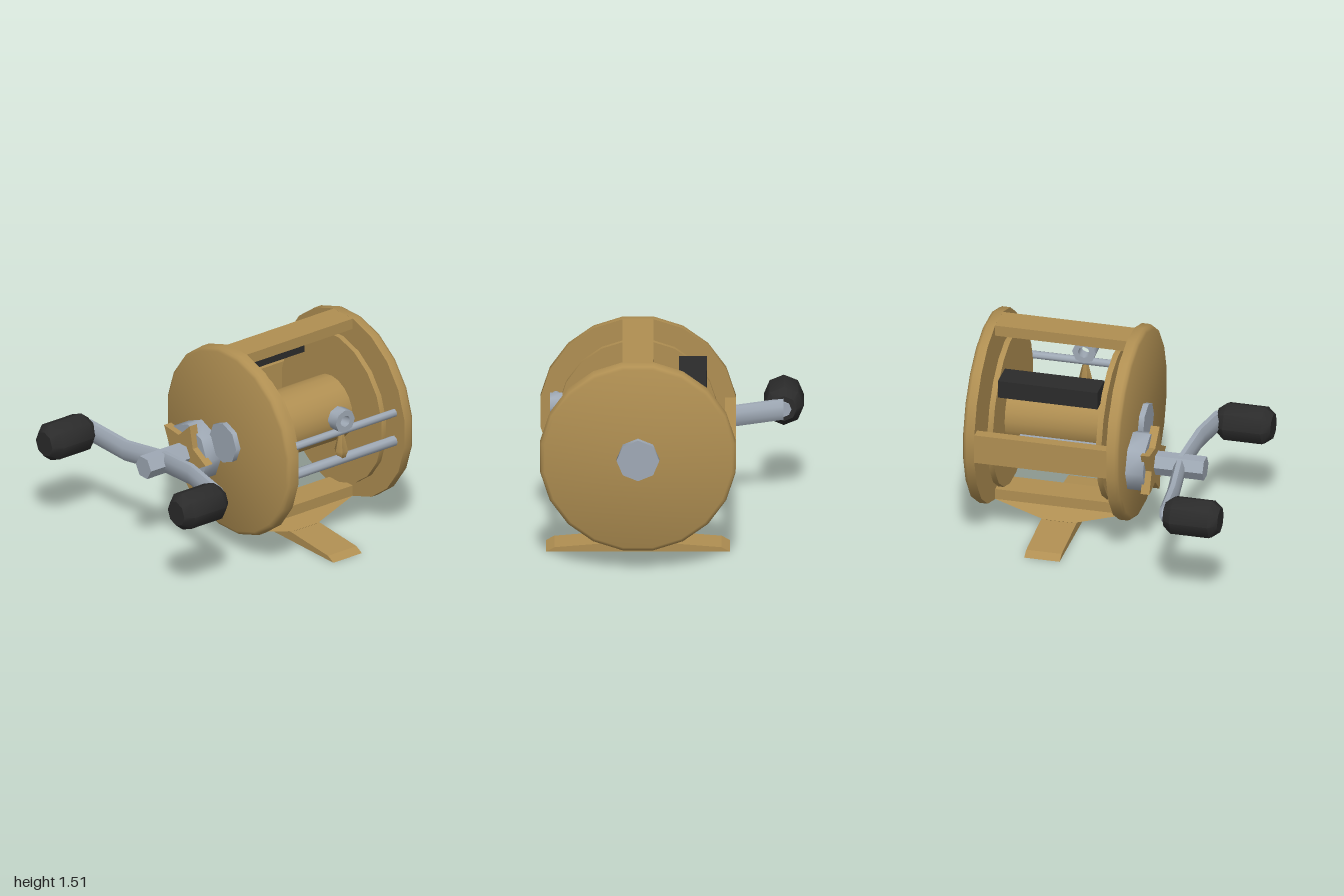
import * as THREE from 'three';
import { toCreasedNormals } from 'three/addons/utils/BufferGeometryUtils.js';

const CREASE = 0.85;
const CX = 0.235, CY = 0.83;   // spool axis
const HX = -0.047, HY = 0.68;  // crank axis

// Closed solid through rings of equal length, counter-clockwise around the path
function loft(rings) {
  const n = rings[0].length, pos = [], index = [];
  rings.forEach(r => r.forEach(p => pos.push(...p)));
  for (let i = 0; i < rings.length - 1; i++) {
    for (let j = 0; j < n; j++) {
      const a = i * n + j, b = i * n + (j + 1) % n;
      index.push(a, b, b + n, a, b + n, a + n);
    }
  }
  const last = (rings.length - 1) * n;
  for (let j = 1; j < n - 1; j++) {
    index.push(0, j + 1, j);
    index.push(last, last + j, last + j + 1);
  }
  const g = new THREE.BufferGeometry();
  g.setAttribute('position', new THREE.Float32BufferAttribute(pos, 3));
  g.setIndex(index);
  return toCreasedNormals(g, CREASE);
}

// Profile of [radius, z] pairs, rising in z, turned around the z axis
function turned(profile, sides, phase = 0) {
  const pts = profile.map(([r, z]) => new THREE.Vector2(r, z));
  const g = new THREE.LatheGeometry(pts, sides, phase).rotateX(Math.PI / 2);
  return toCreasedNormals(g, CREASE);
}

const rod = (r, z0, z1, sides, phase = 0) =>
  turned([[0, z0], [r, z0], [r, z1], [0, z1]], sides, phase);

export function createModel() {
  const material = (name, color) => {
    const m = new THREE.MeshStandardMaterial({ color });
    m.name = name;
    return m;
  };
  const gold = material('brass', 0xb08f52);
  const steel = material('steel', 0x9fa9b5);
  const black = material('black rubber', 0x2b2b2b);

  const model = new THREE.Group();
  model.name = 'fishingReel';
  const add = (name, geometry, mat, x = 0, y = 0, z = 0, parent = model) => {
    const mesh = new THREE.Mesh(geometry, mat);
    mesh.name = name;
    mesh.position.set(x, y, z);
    parent.add(mesh);
    return mesh;
  };
  const box = (name, mat, x0, x1, y0, y1, z0, z1) =>
    add(name, new THREE.BoxGeometry(x1 - x0, y1 - y0, z1 - z0), mat,
      (x0 + x1) / 2, (y0 + y1) / 2, (z0 + z1) / 2);

  // Side plates, bevelled on their outer edges
  const R = 0.693, half = Math.PI / 20;
  add('frontPlate', turned([[0, 0.085], [R, 0.085], [R, 0.145], [R - 0.01, 0.165],
    [R - 0.03, 0.175], [0, 0.175]], 20, half), gold, CX, CY);
  add('backPlate', turned([[0, -0.955], [R - 0.03, -0.955], [R - 0.01, -0.945],
    [R, -0.925], [R, -0.867], [0, -0.867]], 20, half), gold, CX, CY);

  // Frame pillars
  box('topPillar', gold, 0.128, 0.343, 1.435, 1.514, -0.87, 0.09);
  box('sidePillar', gold, -0.45, -0.373, 0.722, 0.938, -0.87, 0.09);
  box('bottomPillar', gold, 0.128, 0.343, 0.146, 0.225, -0.87, 0.09);

  // Spool
  add('spoolCore', rod(0.235, -0.77, -0.01, 20), gold, CX, CY);
  for (const z of [-0.785, 0]) {
    add('spoolFlange', rod(0.563, z - 0.02, z + 0.02, 20, half), gold, CX, CY);
  }
  add('spoolAxle', rod(0.15, -1.0, 0.215, 8), steel, CX, CY);

  // Thumb bar
  box('thumbBar', black, -0.246, -0.05, 1.15, 1.28, -0.75, -0.03);

  // Foot and flared neck
  const neckRing = (y, x0, x1, z0, z1) =>
    [[x1, y, z1], [x1, y, z0], [x0, y, z0], [x0, y, z1]];
  add('footNeck', loft([
    neckRing(0.035, 0.08, 0.39, -0.48, -0.3),
    neckRing(0.068, 0.06, 0.41, -0.5, -0.28),
    neckRing(0.147, 0.128, 0.343, -0.867, 0.087),
  ]), gold);
  const footShape = new THREE.Shape([[-0.41, 0], [0.88, 0], [0.82, 0.032], [0.41, 0.066],
    [0.06, 0.066], [-0.35, 0.032]].map(p => new THREE.Vector2(...p)));
  add('foot', new THREE.ExtrudeGeometry(footShape, { depth: 0.256, bevelEnabled: false }),
    gold, 0, 0, -0.517);

  // Line guide: two rails, an eyelet and its pawl
  add('upperRail', rod(0.029, -0.87, 0.09, 8), steel, 0.81, 0.957);
  add('lowerRail', rod(0.038, -0.87, 0.09, 8), steel, 0.806, 0.74);
  const eyelet = turned([[0.043, -0.045], [0.086, -0.045], [0.086, 0.045],
    [0.043, 0.045], [0.043, -0.045]], 8).rotateY(Math.PI / 2);
  add('lineEyelet', eyelet, steel, 0.808, 1.045, -0.39);
  const pawl = turned([[0, -0.26], [0.03, -0.24], [0.05, -0.18], [0.008, 0], [0, 0]], 6)
    .rotateX(-Math.PI / 2);
  add('linePawl', pawl, gold, 0.808, 0.99, -0.39);

  // Crank shaft, gear housing and star drag
  add('crankShaft', rod(0.085, -0.65, 0.7, 6, Math.PI / 6), steel, HX, HY);
  add('gearHousing', rod(0.217, 0.16, 0.303, 8), steel, HX, HY);
  const star = new THREE.Shape();
  for (let i = 0; i < 10; i++) {
    const r = i % 2 ? 0.14 : 0.257, a = i * Math.PI / 5;
    star[i ? 'lineTo' : 'moveTo'](r * Math.cos(a), r * Math.sin(a));
  }
  star.closePath();
  add('starDrag', new THREE.ExtrudeGeometry(star, { depth: 0.063, bevelEnabled: false }),
    gold, HX, HY, 0.285);

  // Double crank handle: one arm with knob, repeated half a turn around
  const armRings = [[0, 0, 0.52], [0.365, 0.04, 0.56], [0.735, 0, 0.6]].map(([x, y, z]) =>
    Array.from({ length: 8 }, (_, j) => {
      const a = (j + 0.5) * Math.PI / 4;
      return [x, y + 0.08 * Math.cos(a), z + 0.044 * Math.sin(a)];
    }));
  const arm = loft(armRings);
  const stub = rod(0.055, 0.585, 0.64, 8);
  const knob = turned([[0, 0.605], [0.092, 0.605], [0.14, 0.665], [0.14, 0.94],
    [0.092, 1.0], [0, 1.0]], 8);
  for (const turn of [0, Math.PI]) {
    const handle = new THREE.Group();
    handle.name = turn ? 'rightHandle' : 'leftHandle';
    handle.position.set(HX, HY, 0);
    handle.rotation.z = turn;
    model.add(handle);
    add('crankArm', arm, steel, 0, 0, 0, handle);
    add('knobPin', stub, steel, 0.735, 0, 0, handle);
    add('knob', knob, black, 0.737, 0, 0, handle);
  }

  return model;
}
